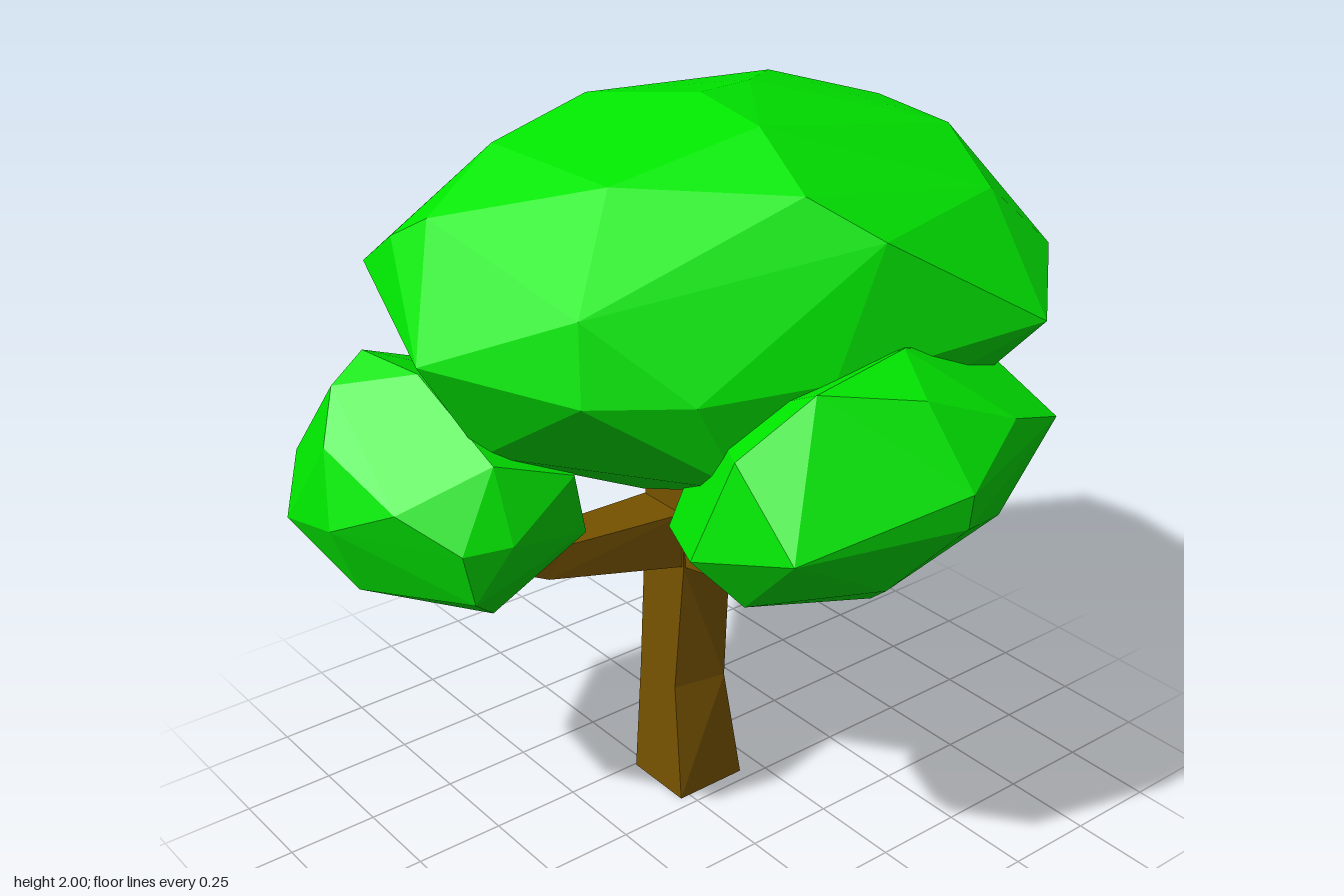
import * as THREE from 'three';
import { ConvexGeometry } from 'three/addons/geometries/ConvexGeometry.js';
import { mergeGeometries } from 'three/addons/utils/BufferGeometryUtils.js';

const leaf = new THREE.MeshStandardMaterial({ color: 0x00e800, flatShading: true });
const bark = new THREE.MeshStandardMaterial({ color: 0x775300, flatShading: true });
const V = (p) => new THREE.Vector3(...p);

// A faceted leaf mass: the hull around a few landmark points
function crown(name, points) {
  const mesh = new THREE.Mesh(new ConvexGeometry(points.map(V)), leaf);
  mesh.name = name;
  return mesh;
}

// A limb: four-cornered sections joined one after another
function limb(name, sections) {
  const parts = sections.slice(1).map((s, i) => new ConvexGeometry([...sections[i], ...s].map(V)));
  const mesh = new THREE.Mesh(mergeGeometries(parts), bark);
  mesh.name = name;
  return mesh;
}

// Section helpers: level (trunk), facing x (side branch), facing z (front branch)
const level = (y, corners) => corners.map(([x, z]) => [x, y, z]);
const box = (a0, a1, b0, b1) => [[a0, b0], [a1, b0], [a1, b1], [a0, b1]];
const acrossX = (xLow, xHigh, y0, y1, z0, z1) =>
  [[xLow, y0, z0], [xLow, y0, z1], [xHigh, y1, z0], [xHigh, y1, z1]];
const acrossZ = (zLow, zHigh, y0, y1, x0, x1) =>
  [[x0, y0, zLow], [x1, y0, zLow], [x0, y1, zHigh], [x1, y1, zHigh]];

export function createModel() {
  const tree = new THREE.Group();
  tree.name = 'tree';

  // Trunk with a slight waist, rising into the main crown
  tree.add(limb('trunk', [
    level(0, box(-0.245, -0.035, -0.185, 0.03)),
    level(0.34, [[-0.235, 0.015], [-0.08, 0.015], [-0.05, -0.135], [-0.235, -0.17]]),
    level(0.72, box(-0.23, -0.058, -0.16, 0)),
    level(1.15, box(-0.21, -0.06, -0.155, 0)),
  ]));

  // Two bent branches
  tree.add(limb('sideBranch', [
    acrossX(-0.07, -0.07, 0.72, 0.86, -0.155, -0.005),
    acrossX(0.25, 0.24, 0.77, 0.88, -0.14, -0.02),
    acrossX(0.48, 0.4, 0.93, 1.01, -0.13, -0.03),
  ]));
  tree.add(limb('frontBranch', [
    acrossZ(-0.01, -0.01, 0.72, 0.88, -0.225, -0.065),
    acrossZ(0.4, 0.35, 0.81, 0.89, -0.22, -0.1),
    acrossZ(0.52, 0.45, 0.87, 0.94, -0.22, -0.11),
  ]));

  tree.add(crown('mainCrown', [
    // top
    [-0.05, 2, -0.05], [-0.12, 1.98, -0.26], [-0.28, 1.98, 0.12], [0.19, 1.975, -0.03],
    [-0.28, 1.94, -0.46], [0.19, 1.93, -0.22], [0.11, 1.84, -0.73], [-0.2, 1.84, -0.78],
    [-0.42, 1.75, -0.82], [-0.64, 1.85, -0.2], [-0.27, 1.91, 0.4], [0.42, 1.88, 0.03],
    [0.12, 1.89, 0.35], [-0.18, 1.8, 0.64], [0.4, 1.77, -0.59],
    // middle
    [-0.42, 1.64, 0.68], [-0.28, 1.74, 0.68], [-0.03, 1.52, 0.78], [0.32, 1.69, 0.58],
    [0.35, 1.5, 0.6], [0.5, 1.5, 0.4], [0.55, 1.78, -0.1], [0.59, 1.5, 0.08],
    [0.66, 1.52, -0.53], [0.44, 1.6, -0.77], [-0.07, 1.51, -0.96], [-0.66, 1.55, -0.55],
    [-0.855, 1.67, -0.02], [-0.88, 1.33, -0.09], [-0.72, 1.5, 0.4],
    // underside
    [-0.35, 1.31, -0.77], [0.3, 1.31, -0.75], [-0.62, 1.15, 0], [-0.5, 1.22, 0.42],
    [0, 1.27, 0.64], [0.13, 1.12, 0.27], [0.5, 1.26, 0.27], [0.5, 1.28, -0.35],
    [0.1, 1.12, -0.5], [-0.3, 1.13, -0.5], [-0.2, 1.07, -0.05],
  ]));

  tree.add(crown('frontCrown', [
    [-0.37, 1.44, 0.73], [-0.2, 1.42, 0.68], [-0.33, 1.39, 0.84], [-0.25, 1.28, 0.915],
    [0.08, 1.28, 0.66], [0, 1.19, 0.88], [-0.57, 1.26, 0.68], [-0.57, 1.13, 0.83],
    [-0.45, 1.02, 0.93], [-0.18, 1.1, 0.955], [0.15, 1.1, 0.66], [0.12, 1.1, 0.78],
    [0.1, 0.95, 0.74], [-0.2, 0.91, 0.88], [-0.3, 0.845, 0.79], [-0.68, 0.98, 0.62],
    [-0.52, 0.87, 0.7], [-0.32, 0.81, 0.66], [-0.02, 0.83, 0.62], [-0.2, 0.83, 0.45],
    [-0.48, 0.95, 0.38], [-0.25, 0.97, 0.32], [0.04, 1, 0.38], [-0.64, 1.12, 0.46],
    [-0.45, 1.3, 0.42], [-0.2, 1.3, 0.36], [0.1, 1.2, 0.45],
  ]));

  tree.add(crown('sideCrown', [
    [0.88, 1.29, -0.08], [0.87, 1.2, -0.08], [0.76, 1.2, 0.34], [0.5, 1.13, 0.42],
    [0.58, 1.39, 0.36], [0.75, 1.48, -0.05], [0.74, 1.31, -0.5], [0.62, 1.55, -0.1],
    [0.64, 1.52, 0.18], [0.5, 1.43, -0.47], [0.6, 1.2, -0.57], [0.55, 0.87, -0.1],
    [0.4, 0.91, 0.14], [0.22, 1.07, 0.08], [0.2, 1.17, -0.1], [0.45, 0.97, -0.35],
    [0.72, 1.01, 0.02], [0.56, 1, 0.31], [0.76, 1.12, -0.3], [0.32, 1.12, 0.34],
    [0.3, 1.15, -0.42], [0.3, 1.35, 0.2], [0.34, 1.42, -0.38], [0.27, 1.3, -0.47],
    [0.79, 1.38, -0.3],
  ]));

  return tree;
}
